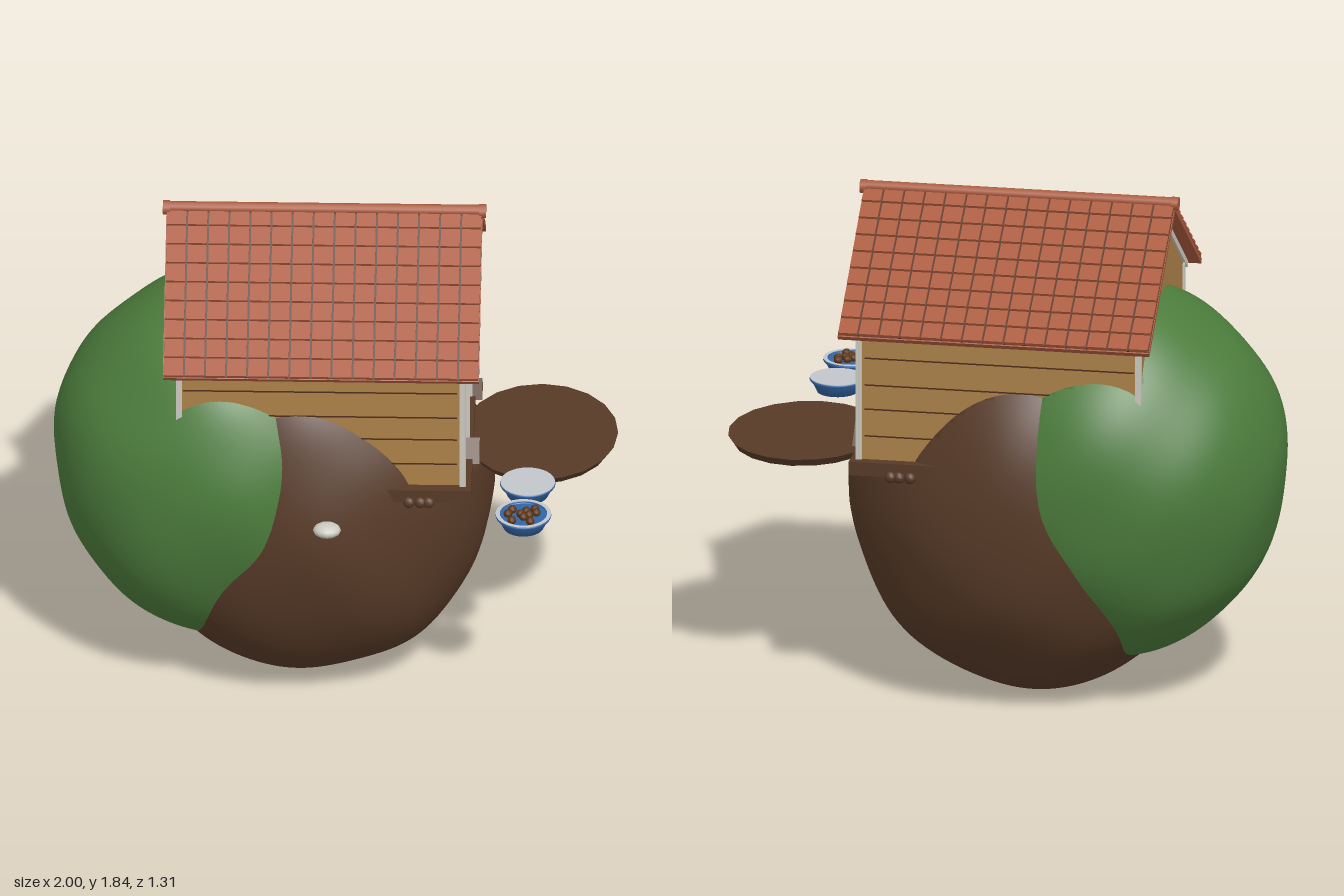
import * as THREE from 'three';
import { mergeVertices } from 'three/addons/utils/BufferGeometryUtils.js';

const mat = (name, color) => {
  const m = new THREE.MeshStandardMaterial({ color });
  m.name = name;
  return m;
};

export function createModel() {
  const model = new THREE.Group();
  const tan = mat('wall tan', 0xac8148), tile = mat('roof red', 0xab5b3f), dark = mat('groove brown', 0x4f2c1c);
  const green = mat('grass green', 0x4c7c3c), soil = mat('soil brown', 0x573a27), blue = mat('bowl blue', 0x3465a4);
  const white = mat('trim white', 0xcbc9c0), water = mat('water grey', 0xc2c6ca);
  const maroon = mat('interior maroon', 0x35100f), food = mat('food brown', 0x5c3517);
  maroon.side = THREE.DoubleSide;

  const add = (name, geo, material, x = 0, y = 0, z = 0, parent = model) => {
    const m = new THREE.Mesh(geo, material);
    m.name = name;
    m.position.set(x, y, z);
    parent.add(m);
    return m;
  };
  const box = (name, w, h, d, material, x, y, z, parent) =>
    add(name, new THREE.BoxGeometry(w, h, d), material, x, y, z, parent);
  const Z0 = -0.08; // house centre line

  // Earth mounds: uneven ellipsoids, hollowed where the house stands
  const mound = (name, material, cx, cy, rx, up, down, rz) => {
    let g = new THREE.SphereGeometry(1, 96, 72);
    const p = g.attributes.position;
    for (let i = 0; i < p.count; i++) {
      const a = p.getX(i), b = p.getY(i), c = p.getZ(i);
      const k = 1 + 0.008 * (Math.sin(7 * a + 4 * b) + Math.sin(8 * b - 5 * c) * Math.cos(6 * a));
      const x = cx + a * rx * k, z = c * rz * k;
      let y = Math.max(0, cy + b * (b > 0 ? up : down) * k);
      if (x > -0.5 && Math.abs(z) < 0.405) y = Math.min(y, 0.89);
      p.setXYZ(i, x, y, z);
    }
    g.deleteAttribute('uv');
    g.deleteAttribute('normal');
    g = mergeVertices(g, 1e-5);
    g.computeVertexNormals();
    add(name, g, material, 0, 0, Z0);
  };
  mound('soilMound', soil, -0.1, 0.7, 0.66, 0.8, 0.7, 0.57);
  mound('grassMound', green, -0.38, 0.85, 0.62, 0.65, 0.71, 0.57);

  const house = new THREE.Group();
  house.name = 'house';
  house.position.z = Z0;
  model.add(house);

  // Gable walls, the front one with an arched doorway
  const archPath = (path, w, bottom, spring, rise) => {
    path.moveTo(-w, bottom);
    path.lineTo(w, bottom);
    path.lineTo(w, spring);
    path.absellipse(0, spring, w, rise, 0, Math.PI, false);
    path.lineTo(-w, bottom);
    return path;
  };
  const gable = (name, x, door) => {
    const s = new THREE.Shape();
    s.moveTo(-0.44, 0.93);
    s.lineTo(0.44, 0.93);
    s.lineTo(0.44, 1.44);
    s.lineTo(0, 1.765);
    s.lineTo(-0.44, 1.44);
    if (door) s.holes.push(archPath(new THREE.Path(), 0.17, 0.948, 1.23, 0.1));
    const g = new THREE.ExtrudeGeometry(s, { depth: 0.02, bevelEnabled: false, curveSegments: 20 });
    add(name, g.rotateY(Math.PI / 2), tan, x, 0, 0, house);
  };
  gable('frontGable', 0.44, true);
  gable('backGable', -0.55, false);

  // Side walls with plank grooves and white corner posts
  for (const s of [1, -1]) {
    box('sideWall', 0.98, 0.52, 0.02, tan, -0.045, 1.19, s * 0.43, house);
    for (const y of [1.03, 1.13, 1.22, 1.32])
      box('plankGroove', 0.97, 0.005, 0.004, dark, -0.045, y, s * 0.44, house);
    for (const x of [0.46, -0.545])
      box('cornerPost', 0.022, 0.5, 0.022, white, x, 1.19, s * 0.44, house);
  }

  // Dark interior, open at the door, with a pale panel at the back
  const room = new THREE.BoxGeometry(0.76, 0.49, 0.82);
  room.setIndex(Array.from(room.index.array).slice(6));
  room.clearGroups();
  add('interior', room, maroon, 0.06, 1.195, 0, house);
  const panel = new THREE.ExtrudeGeometry(archPath(new THREE.Shape(), 0.17, 0.95, 1.14, 0.1),
    { depth: 0.008, bevelEnabled: false, curveSegments: 20 });
  add('innerPanel', panel.rotateY(Math.PI / 2), tan, -0.31, 0, 0, house);

  // Door frame: posts, arch stones and sign
  for (const s of [1, -1]) box('doorPost', 0.03, 0.28, 0.022, white, 0.465, 1.085, s * 0.182, house);
  for (const deg of [8, 30, 51, 71, 90, 109, 129, 150, 172]) {
    const a = deg * Math.PI / 180;
    const stone = box('archStone', 0.03, 0.05, 0.022, white, 0.465, 1.23 + Math.sin(a) * 0.17, Math.cos(a) * 0.185, house);
    stone.rotation.x = Math.PI / 2 - a;
  }
  box('signFrame', 0.008, 0.1, 0.27, dark, 0.463, 1.578, 0, house);
  box('sign', 0.009, 0.086, 0.254, white, 0.467, 1.578, 0, house);

  // Roof halves: slab, dark gaps and rows of tilted tiles
  const run = 0.66, rows = 9, cols = 15, pitch = 1.12 / cols, step = run / rows;
  const tileGeo = new THREE.BoxGeometry(pitch - 0.007, 0.014, step - 0.002);
  for (const s of [0, 1]) {
    const half = new THREE.Group();
    half.name = 'roofHalf';
    half.rotation.y = s * Math.PI;
    house.add(half);
    const slope = new THREE.Group();
    slope.position.set(s ? 0.04 : -0.04, 1.812, 0);
    slope.rotation.x = 0.613;
    half.add(slope);
    box('roofSlab', 1.12, 0.018, run, tile, 0, -0.014, run / 2, slope);
    box('tileGaps', 1.115, 0.006, run - 0.01, dark, 0, -0.003, run / 2, slope);
    for (let r = 0; r < rows; r++)
      for (let c = 0; c < cols; c++)
        add('roofTile', tileGeo, tile, (c - (cols - 1) / 2) * pitch, 0.004, (r + 0.5) * step, slope).rotation.x = -0.12;
    for (const x of [0.5, -0.505])
      box('gableTrim', 0.022, 0.022, run - 0.03, white, s ? -x : x, -0.034, run / 2 - 0.005, slope);
  }
  const cyl = (r, len) => new THREE.CylinderGeometry(r, r, len, 12).rotateZ(Math.PI / 2);
  add('ridge', cyl(0.02, 1.12), tile, -0.04, 1.815, 0, house);
  for (const x of [-0.6, 0.52]) add('ridgeCap', cyl(0.025, 0.025), tile, x, 1.812, 0, house);

  // Wooden base with pegs underneath and wedges beside the door
  box('base', 1.0, 0.05, 0.96, soil, -0.01, 0.918, 0, house);
  const peg = new THREE.SphereGeometry(0.022, 10, 8);
  for (const s of [1, -1])
    for (const x of [0.27, 0.31, 0.34]) add('peg', peg, soil, x, 0.893, s * 0.475, house);
  const wedge = new THREE.Shape();
  wedge.moveTo(-0.05, 0);
  wedge.lineTo(0.05, 0);
  wedge.lineTo(0.015, 0.07);
  const wedgeGeo = new THREE.ExtrudeGeometry(wedge, { depth: 0.05, bevelEnabled: false }).rotateY(Math.PI / 2);
  for (const s of [1, -1]) {
    const w = add('doorWedge', wedgeGeo, soil, s > 0 ? 0.465 : 0.515, 0.93, s * 0.22, house);
    if (s < 0) w.rotation.y = Math.PI;
  }

  // Round earth patch before the door
  const patch = new THREE.CylinderGeometry(1, 0.93, 0.03, 20);
  add('earthPatch', patch, soil, 0.725, 0.878, -0.1).scale.set(0.275, 1, 0.33);

  // Two bowls: outer shell, rim and inner dish turned as one profile
  const bowl = (name, x, z) => {
    const pts = [[0, 0], [0.072, 0], [0.094, 0.046], [0.088, 0.046], [0.07, 0.015], [0, 0.015]]
      .map(([r, y]) => new THREE.Vector2(r, y));
    add(name, new THREE.LatheGeometry(pts, 28), blue, x, 0.897, z);
    add(name + 'Rim', new THREE.TorusGeometry(0.093, 0.006, 8, 28).rotateX(Math.PI / 2), blue, x, 0.943, z);
  };
  bowl('waterBowl', 0.69, 0.34);
  add('water', new THREE.CylinderGeometry(0.097, 0.097, 0.006, 28), water, 0.69, 0.947, 0.34);
  bowl('foodBowl', 0.68, 0.56);
  add('foodBowlLip', new THREE.RingGeometry(0.084, 0.099, 28).rotateX(-Math.PI / 2), water, 0.68, 0.95, 0.56);
  add('foodBowlFilling', new THREE.CylinderGeometry(0.086, 0.083, 0.006, 28), blue, 0.68, 0.936, 0.56);
  const kibble = new THREE.SphereGeometry(0.016, 8, 6);
  for (const [dx, dz] of [[-0.04, -0.03], [0.01, -0.02], [0.04, -0.035], [-0.01, 0], [0.02, 0.005],
    [0.045, -0.01], [-0.04, 0.045], [0.025, 0.05], [-0.055, 0], [0, 0.02]])
    add('kibble', kibble, food, 0.68 + dx, 0.948, 0.56 + dz);

  // Small pale stone
  add('stone', new THREE.SphereGeometry(0.05, 12, 8), white, -0.015, 0.895, 0.6).scale.set(1, 0.52, 0.85);

  return model;
}
